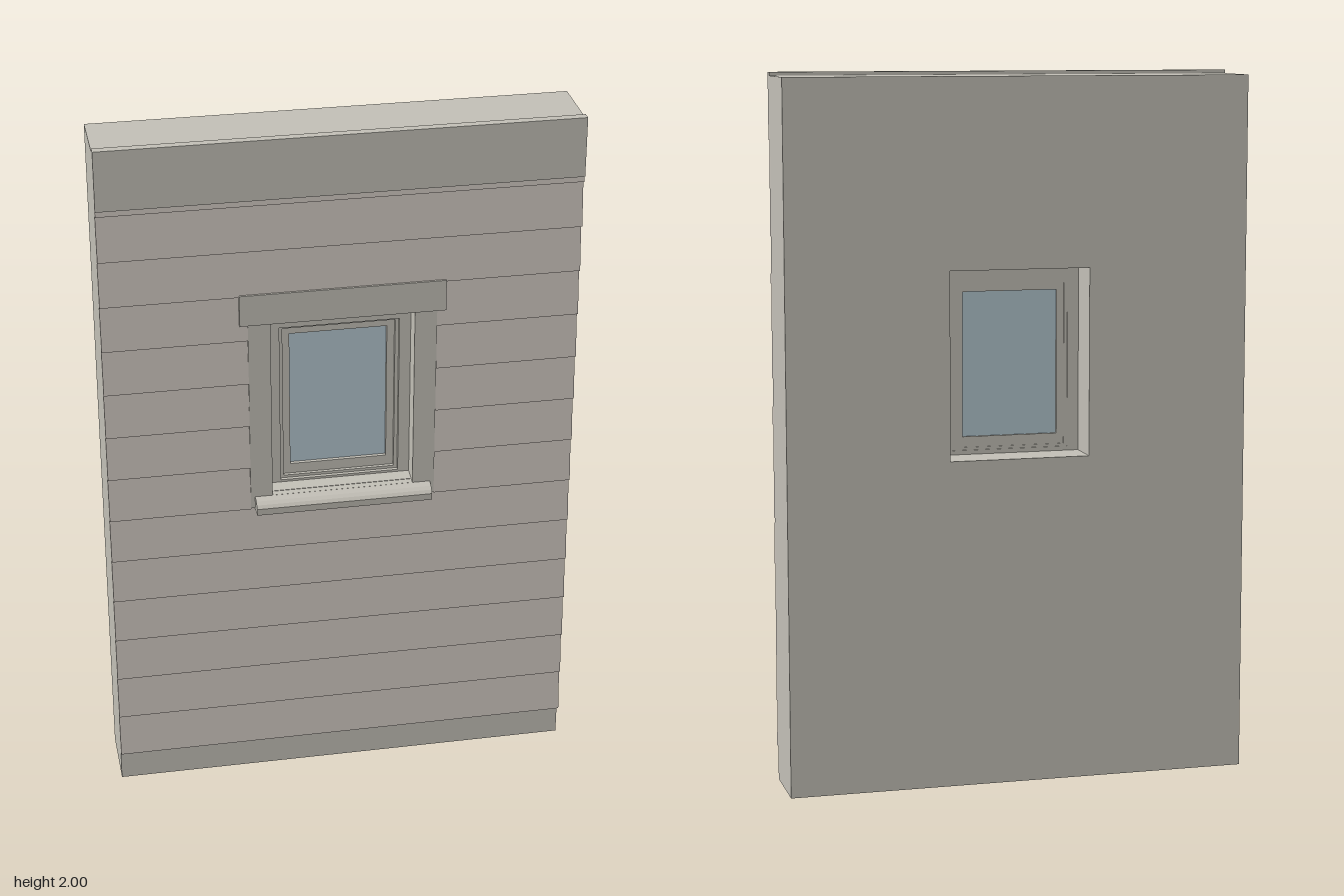
import * as THREE from 'three';

const mat = (name, color) => {
  const m = new THREE.MeshStandardMaterial({ color });
  m.name = name;
  return m;
};

export function createModel() {
  const root = new THREE.Group();
  root.name = 'wallWithWindow';
  const plaster = mat('warm grey trim', 0xc2bfb6);
  const boardPaint = mat('siding grey', 0xc7c0b9);
  const glassBlue = mat('pale blue glass', 0xb2c5ce);

  const add = (name, geo, material, parent = root) => {
    const mesh = new THREE.Mesh(geo, material);
    mesh.name = name;
    parent.add(mesh);
    return mesh;
  };
  // Box given by its limits on each axis
  const box = (name, x0, x1, y0, y1, z0, z1, material = plaster, parent = root) => {
    const g = new THREE.BoxGeometry(x1 - x0, y1 - y0, z1 - z0);
    g.translate((x0 + x1) / 2, (y0 + y1) / 2, (z0 + z1) / 2);
    return add(name, g, material, parent);
  };
  // Profile of [z, y] points swept from x0 to x1
  const sweep = (name, pts, x0, x1, material = plaster, parent = root) => {
    const shape = new THREE.Shape(pts.map(([z, y]) => new THREE.Vector2(z, y)));
    const g = new THREE.ExtrudeGeometry(shape, { depth: x1 - x0, bevelEnabled: false });
    g.translate(0, 0, -(x1 - x0) / 2).rotateY(-Math.PI / 2).translate((x0 + x1) / 2, 0, 0);
    return add(name, g, material, parent);
  };
  const rect = (C, x, y0, y1) => {
    const s = new C();
    s.moveTo(-x, y0).lineTo(x, y0).lineTo(x, y1).lineTo(-x, y1).closePath();
    return s;
  };
  // Rectangular ring: outer and inner are [half width, bottom, top]
  const ring = (name, outer, inner, z0, z1, parent = root) => {
    const s = rect(THREE.Shape, ...outer);
    s.holes.push(rect(THREE.Path, ...inner));
    const g = new THREE.ExtrudeGeometry(s, { depth: z1 - z0, bevelEnabled: false });
    return add(name, g.translate(0, 0, z0), plaster, parent);
  };

  const W = 0.66;

  // Wall slab with the window opening
  ring('wall', [W, 0, 1.99], [0.2, 0.93, 1.46], -0.125, 0.072);

  // Lapped siding, interrupted beside the window
  const siding = new THREE.Group();
  siding.name = 'siding';
  root.add(siding);
  const pitch = 0.1322;
  for (let i = 0; i < 14; i++) {
    const y0 = 0.095 + i * pitch;
    const y1 = y0 + pitch;
    const profile = [[0.07, y0], [0.091, y0], [0.079, y1], [0.07, y1]];
    const spans = i >= 6 && i <= 10 ? [[-W, -0.262], [0.262, W]] : [[-W, W]];
    for (const [a, b] of spans) sweep('sidingBoard', profile, a, b, boardPaint, siding);
  }

  // Frieze board along the top
  box('friezeBoard', -W, W, 1.83, 2, 0.07, 0.095);

  // Outer window trim
  box('headCasing', -0.285, 0.285, 1.465, 1.555, 0.07, 0.097);
  for (const s of [-1, 1]) {
    const [a, b] = [s * 0.2, s * 0.262].sort((p, q) => p - q);
    box('sideCasing', a, b, 0.89, 1.47, 0.07, 0.088);
  }

  // Sill: sloping nose outside, sloping step inside the opening
  sweep('sillNose', [[0.07, 0.885], [0.124, 0.885], [0.125, 0.905], [0.118, 0.914],
    [0.108, 0.921], [0.095, 0.925], [0.07, 0.927]], -0.25, 0.25);
  sweep('innerSill', [[0.02, 0.92], [0.088, 0.92], [0.088, 0.926], [0.02, 0.938]], -0.2, 0.2);

  // Fixed frame, sash and pane
  const win = new THREE.Group();
  win.name = 'window';
  root.add(win);
  ring('windowFrame', [0.2, 0.93, 1.46], [0.168, 0.942, 1.42], -0.015, 0.035, win);
  ring('frameStop', [0.17, 0.94, 1.422], [0.158, 0.95, 1.412], -0.012, 0.024, win);
  ring('sash', [0.162, 0.946, 1.416], [0.137, 0.98, 1.39], -0.01, 0.014, win);
  box('glass', -0.138, 0.138, 0.979, 1.391, -0.003, 0.003, glassBlue, win);

  return root;
}
